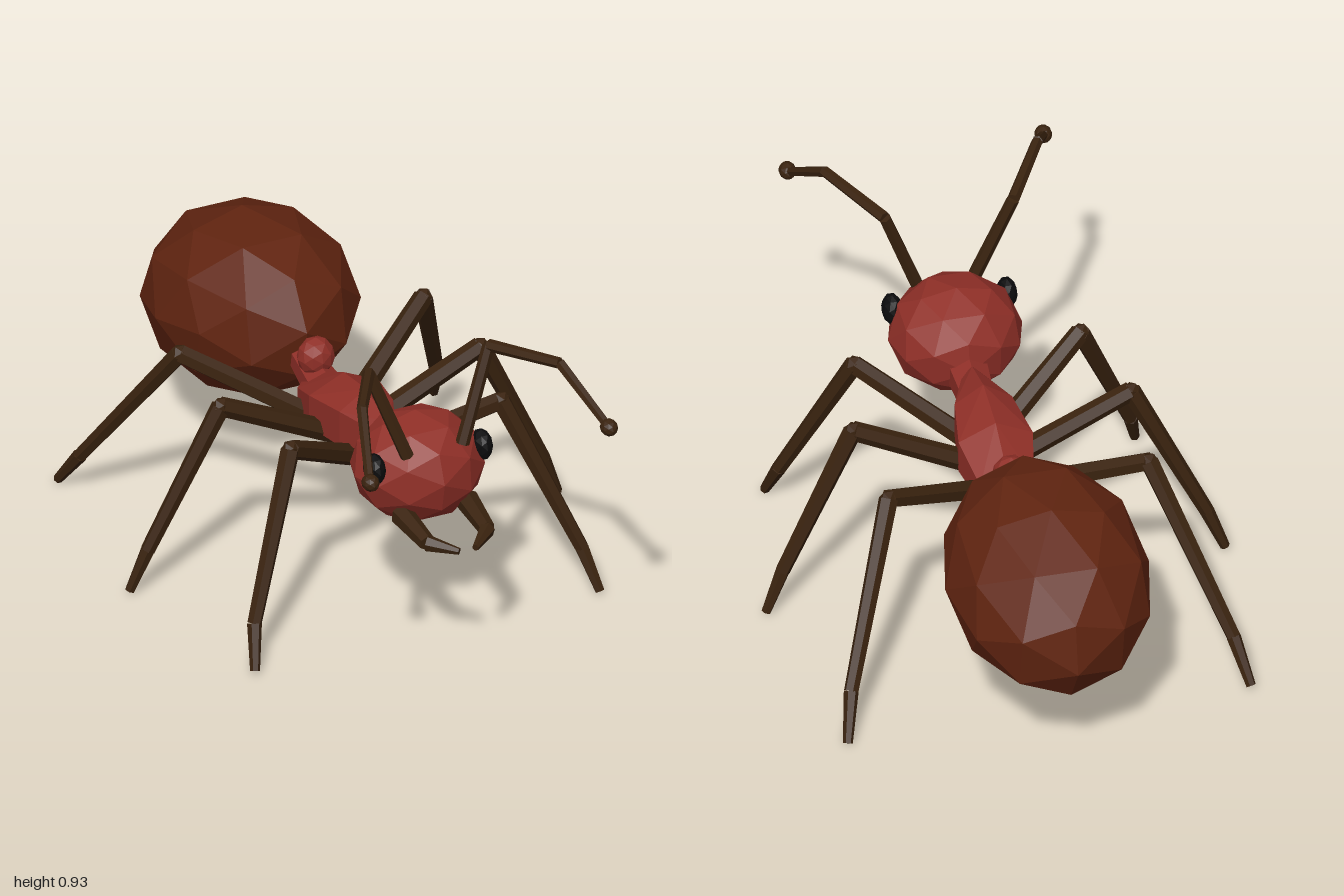
import * as THREE from 'three';
import { ConvexGeometry } from 'three/addons/geometries/ConvexGeometry.js';

const flat = (name, color) => {
  const m = new THREE.MeshStandardMaterial({ color, flatShading: true });
  m.name = name;
  return m;
};

export function createModel() {
  const red = flat('rust red', 0x8f2f27);
  const brown = flat('dark russet', 0x602410);
  const limb = flat('limb brown', 0x3a230f);
  const black = flat('eye black', 0x0b0b0c);

  const ant = new THREE.Group();
  ant.name = 'ant';

  const add = (parent, name, geometry, material) => {
    const mesh = new THREE.Mesh(geometry, material);
    mesh.name = name;
    parent.add(mesh);
    return mesh;
  };

  // Faceted ellipsoid
  const blob = (parent, name, material, pos, size, tilt = 0, detail = 1) => {
    const mesh = add(parent, name, new THREE.IcosahedronGeometry(1, detail).scale(...size), material);
    mesh.position.set(...pos);
    mesh.rotation.x = tilt;
    return mesh;
  };

  // Tapered six-sided rod from a to b
  const rod = (parent, name, material, a, b, ra, rb) => {
    const from = new THREE.Vector3(...a), to = new THREE.Vector3(...b);
    const dir = to.clone().sub(from);
    const mesh = add(parent, name, new THREE.CylinderGeometry(rb, ra, dir.length(), 6), material);
    mesh.position.copy(from).add(to).multiplyScalar(0.5);
    mesh.quaternion.setFromUnitVectors(new THREE.Vector3(0, 1, 0), dir.normalize());
    return mesh;
  };

  // Jointed chain of rods; radii has one value per point
  const chain = (name, names, points, radii, side) => {
    const group = new THREE.Group();
    group.name = name;
    const pts = points.map(([x, y, z]) => [x * side, y, z]);
    names.forEach((n, i) => rod(group, n, limb, pts[i], pts[i + 1], radii[i], radii[i + 1]));
    ant.add(group);
    return group;
  };

  // Body
  blob(ant, 'abdomen', brown, [0, 0.475, -0.62], [0.293, 0.272, 0.385], -0.2);
  blob(ant, 'head', red, [0, 0.52, 0.49], [0.193, 0.163, 0.183], -0.1);
  rod(ant, 'neck', red, [0, 0.475, 0.24], [0, 0.49, 0.37], 0.055, 0.065);
  blob(ant, 'waistNode', red, [0, 0.51, -0.185], [0.055, 0.06, 0.05]);
  rod(ant, 'waist', red, [0, 0.43, -0.1], [0, 0.47, -0.3], 0.06, 0.04);

  // Thorax: hull around six-sided sections [z, centre y, half width, half height]
  const hull = [];
  for (const [z, y, w, h] of [
    [0.285, 0.485, 0.03, 0.06], [0.15, 0.47, 0.085, 0.11],
    [0, 0.455, 0.11, 0.1], [-0.14, 0.42, 0.08, 0.06], [-0.19, 0.42, 0.04, 0.035],
  ]) {
    for (let i = 0; i < 6; i++) {
      const a = (i / 6) * Math.PI * 2;
      hull.push(new THREE.Vector3(Math.cos(a + Math.PI / 2) * w * 1.12, y + Math.sin(a + Math.PI / 2) * h, z));
    }
  }
  add(ant, 'thorax', new ConvexGeometry(hull), red);

  // Leg joints on the left side: hip, knee, ankle, tip
  const legs = {
    front: [[0.05, 0.39, 0.17], [0.325, 0.565, 0.345], [0.505, 0.125, 0.495], [0.532, 0.01, 0.557]],
    middle: [[0.05, 0.395, 0.04], [0.4, 0.565, 0.045], [0.61, 0.135, 0.012], [0.66, 0.01, 0]],
    rear: [[0.05, 0.385, -0.07], [0.375, 0.56, -0.28], [0.55, 0.125, -0.565], [0.58, 0.01, -0.65]],
  };

  for (const [side, label] of [[1, 'Left'], [-1, 'Right']]) {
    for (const [key, points] of Object.entries(legs)) {
      const leg = chain(`${key}Leg${label}`, ['femur', 'tibia', 'foot'], points, [0.032, 0.028, 0.021, 0.014], side);
      const [x, y, z] = points[1];
      blob(leg, 'knee', limb, [x * side, y, z], [0.027, 0.027, 0.027], 0, 0);
    }

    // Antenna with a small club at the tip
    const antenna = chain(`antenna${label}`, ['scape', 'middleSegment', 'endSegment'],
      [[0.085, 0.62, 0.605], [0.185, 0.893, 0.565], [0.305, 0.918, 0.78], [0.368, 0.795, 0.965]],
      [0.02, 0.018, 0.016, 0.013], side);
    blob(antenna, 'club', limb, [0.368 * side, 0.795, 0.97], [0.025, 0.025, 0.03], 0, 1);

    // Mandible curving inward
    chain(`mandible${label}`, ['jawBase', 'jawTip'],
      [[0.1, 0.435, 0.6], [0.092, 0.42, 0.755], [0.025, 0.412, 0.822]], [0.034, 0.024, 0.01], side);

    blob(ant, `eye${label}`, black, [0.165 * side, 0.575, 0.56], [0.03, 0.047, 0.043]);
  }
  return ant;
}
